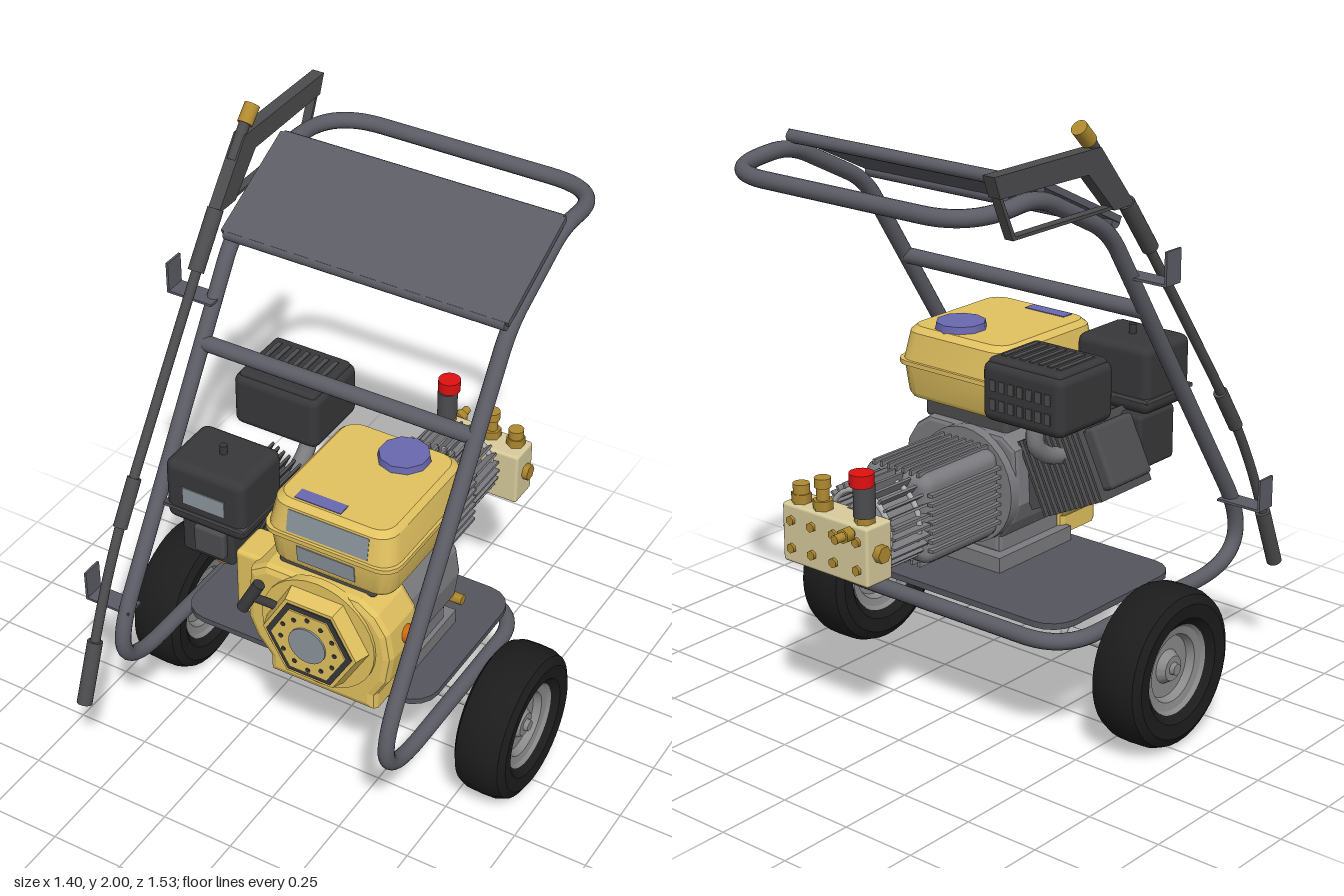
import * as THREE from 'three';
import { toCreasedNormals } from 'three/addons/utils/BufferGeometryUtils.js';
import { RoundedBoxGeometry } from 'three/addons/geometries/RoundedBoxGeometry.js';

const mat = (color) => new THREE.MeshStandardMaterial({ color });
const M = {
  frame: mat(0x5c5c66), plate: mat(0x55565e), tyre: mat(0x1c1c1c), rim: mat(0x8a8a8a), steel: mat(0xb0b0b0),
  yellow: mat(0xe2c260), black: mat(0x38383a), dark: mat(0x4c4c4e), block: mat(0x7c7c80), brass: mat(0xb08a30),
  blue: mat(0x6a68b0), label: mat(0x8b949c), red: mat(0xe01010), beige: mat(0xd8cc9c), orange: mat(0xd06a10),
};
const V = (x, y, z) => new THREE.Vector3(x, y, z);

export function createModel() {
  const root = new THREE.Group();
  const add = (name, geo, m, x = 0, y = 0, z = 0, parent = root) => {
    const mesh = new THREE.Mesh(geo, m);
    mesh.name = name;
    mesh.position.set(x, y, z);
    parent.add(mesh);
    return mesh;
  };
  const box = (name, m, x, y, z, w, h, d, p) => add(name, new THREE.BoxGeometry(w, h, d), m, x, y, z, p);
  const rbox = (name, m, x, y, z, w, h, d, r, p) => add(name, new RoundedBoxGeometry(w, h, d, 2, r), m, x, y, z, p);
  // Cylinder running from point a to point b
  const rod = (name, m, a, b, r0, r1 = r0, n = 20) => {
    const mesh = add(name, new THREE.CylinderGeometry(r1, r0, a.distanceTo(b), n), m);
    mesh.position.lerpVectors(a, b, 0.5);
    mesh.quaternion.setFromUnitVectors(V(0, 1, 0), b.clone().sub(a).normalize());
    return mesh;
  };
  // Closed path with rounded corners; every point is [x, y, z, trim]
  const roundedLoop = (pts) => {
    const path = new THREE.CurvePath();
    const corners = pts.map((p, i) => {
      const c = V(...p), q = V(...pts.at(i - 1)), s = V(...pts[(i + 1) % pts.length]);
      const cut = (t) => c.clone().add(t.clone().sub(c).setLength(p[3]));
      return [cut(q), c, cut(s)];
    });
    corners.forEach((k, i) => {
      path.add(new THREE.QuadraticBezierCurve3(...k));
      path.add(new THREE.LineCurve3(k[2], corners[(i + 1) % corners.length][0]));
    });
    return path;
  };
  // Stack of rounded rectangles [y, width, depth, radius] joined into a shell
  const loft = (sections) => {
    const pos = [], idx = [], n = 20;
    for (const [y, w, d, r] of sections) for (let j = 0; j < n; j++) {
      const q = Math.floor(j / 5), a = (q + (j % 5) / 4) * Math.PI / 2;
      const sx = q === 0 || q === 3 ? 1 : -1, sz = q < 2 ? 1 : -1;
      pos.push(sx * (w / 2 - r) + r * Math.cos(a), y, sz * (d / 2 - r) + r * Math.sin(a));
    }
    const last = (sections.length - 1) * n, c = sections.length * n;
    pos.push(0, sections[0][0], 0, 0, sections.at(-1)[0], 0);
    for (let j = 0; j < n; j++) {
      const k = (j + 1) % n;
      for (let o = 0; o < last; o += n) idx.push(o + j, o + n + j, o + k, o + k, o + n + j, o + n + k);
      idx.push(c, j, k, c + 1, last + k, last + j);
    }
    const g = new THREE.BufferGeometry();
    g.setAttribute('position', new THREE.Float32BufferAttribute(pos, 3));
    g.setIndex(idx);
    return toCreasedNormals(g, 0.5);
  };
  const extrude = (pts, depth, bevel = 0) => new THREE.ExtrudeGeometry(
    new THREE.Shape(pts.map((p) => new THREE.Vector2(...p))),
    { depth, bevelEnabled: bevel > 0, bevelSize: bevel, bevelThickness: bevel, bevelOffset: -bevel, bevelSegments: 2 });

  // Tubular frame: base loop, sloping uprights and push handle
  const L = -0.495, R = 0.465;
  const half = (x) => [[x, 0.39, -0.31, 0.16], [x, 0.39, 0.7, 0.34], [x, 1.64, -0.115, 0.08], [x, 1.805, -0.44, 0.08], [x, 1.78, -0.72, 0.18]];
  const loop = roundedLoop([...half(L), ...half(R).reverse()]);
  add('frameTube', new THREE.TubeGeometry(loop, 360, 0.026, 14, true), M.frame);
  rod('crossbar', M.frame, V(L, 1.355, 0.07), V(R, 1.355, 0.07), 0.026);
  const panel = new THREE.Group();
  panel.name = 'upperPanel';
  panel.position.set(-0.015, 1.745, -0.26);
  panel.rotation.x = 0.46;
  root.add(panel);
  box('panelSheet', M.frame, 0, 0.012, 0, 0.99, 0.02, 0.39, panel);
  for (const s of [-1, 1]) {
    const edge = add('panelEdge', new THREE.CylinderGeometry(0.02, 0.02, 0.97, 14), M.frame, 0, 0.002, s * 0.19, panel);
    edge.rotation.z = Math.PI / 2;
  }
  add('basePlate', loft([[0.43, 0.91, 0.61, 0.09], [0.45, 0.91, 0.61, 0.09]]), M.plate, -0.015, 0, -0.005);

  // Wheels: lathed tyre and dished rim, with a stub axle
  const tyre = [[0.145, -0.06], [0.17, -0.085], [0.215, -0.09], [0.242, -0.075], [0.254, -0.045], [0.256, 0],
    [0.254, 0.045], [0.242, 0.075], [0.215, 0.09], [0.17, 0.085], [0.145, 0.06], [0.145, -0.06]];
  const rim = [[0, 0.065], [0.018, 0.065], [0.02, 0.05], [0.04, 0.05], [0.055, 0.025], [0.1, 0.025], [0.11, 0.05], [0.135, 0.055], [0.146, 0.065]];
  const lathe = (p, crease) => toCreasedNormals(new THREE.LatheGeometry(p.map((q) => new THREE.Vector2(...q)), 40), crease);
  for (const s of [-1, 1]) {
    const wheel = new THREE.Group();
    wheel.name = s > 0 ? 'leftWheel' : 'rightWheel';
    wheel.position.set(s * 0.61, 0.257, 0.025);
    wheel.rotation.z = -s * Math.PI / 2;
    root.add(wheel);
    add('tyre', lathe(tyre, 0.45), M.tyre, 0, 0, 0, wheel);
    for (const f of [0, Math.PI]) {
      const face = add('rim', lathe(rim.slice().reverse(), 0.4), M.rim, 0, 0, 0, wheel);
      face.material.side = THREE.DoubleSide;
      face.rotation.x = f;
    }
    rod('axle', M.steel, V(s * 0.26, 0.26, 0.025), V(s * 0.56, 0.26, 0.025), 0.019);
    rod('axleEnd', M.steel, V(s * 0.235, 0.26, 0.025), V(s * 0.26, 0.26, 0.025), 0.021);
  }

  // Spray lance and its grips
  const lx = -0.543, P = (z, y) => V(lx, y, z);
  rod('lanceNozzle', M.dark, P(0.74, 0.35), P(0.66, 0.55), 0.025);
  const pipe = new THREE.CatmullRomCurve3([P(0.66, 0.55), P(0.58, 0.73), P(0.48, 0.91), P(0.28, 1.2), P(-0.1, 1.73)]);
  add('lancePipe', new THREE.TubeGeometry(pipe, 40, 0.016, 12), M.dark);
  rod('lanceSleeve', M.dark, P(0.49, 0.89), P(0.4, 1.025), 0.023);
  rod('lanceGrip', M.dark, P(0.02, 1.57), P(-0.1, 1.73), 0.026);
  // Trigger gun with an open guard
  const gunBar = (name, pts, w) => {
    const g = extrude(pts, w);
    g.rotateY(Math.PI / 2);
    add(name, g, M.dark, lx - w / 2, 0, 0);
  };
  gunBar('gunBody', [[0.085, 1.725], [0.245, 1.92], [0.705, 1.92], [0.68, 1.855], [0.3, 1.85], [0.18, 1.725]], 0.042);
  gunBar('gunGuard', [[0.705, 1.92], [0.62, 1.727], [0.18, 1.727], [0.18, 1.737], [0.61, 1.737], [0.685, 1.9]], 0.03);
  rod('gunInlet', M.dark, P(-0.2, 1.85), P(-0.28, 1.95), 0.018);
  rod('gunCoupling', M.brass, P(-0.275, 1.94), P(-0.32, 1.985), 0.025);
  // Lance hooks
  for (const [y, z] of [[1.48, 0.01], [0.62, 0.535]]) {
    box('hookArm', M.frame, -0.555, y, z, 0.16, 0.008, 0.07);
    box('hookLip', M.frame, -0.633, y + 0.05, z, 0.008, 0.105, 0.07);
  }

  // Engine block and yellow fan housing
  const profile = [[-0.05, 0.47], [0.33, 0.47], [0.33, 0.53], [0.37, 0.6], [0.385, 0.7], [0.37, 0.79], [0.33, 0.85], [0.27, 0.89],
    [-0.06, 0.89], [-0.12, 0.85], [-0.13, 0.66], [-0.1, 0.59], [-0.05, 0.53]];
  add('fanHousing', extrude(profile, 0.14, 0.025), M.yellow, 0, 0, 0.255);
  add('engineBlock', extrude(profile.map(([x, y]) => [x * 0.92 + 0.01, y * 0.95 + 0.045]), 0.27, 0.015), M.block, 0, 0, -0.045);
  rbox('housingSide', M.yellow, -0.15, 0.74, 0.3, 0.1, 0.24, 0.14, 0.015);
  box('engineFoot', M.block, 0.13, 0.475, 0.08, 0.4, 0.05, 0.36);
  rbox('tankSupport', M.dark, 0.13, 0.91, 0.17, 0.34, 0.07, 0.4, 0.015);
  rod('driveFlange', M.block, V(0.08, 0.71, -0.09), V(0.08, 0.71, -0.05), 0.19, 0.19, 32);
  // Recoil starter cover: hexagon, grille and hub
  const cx = 0.135, cy = 0.71;
  const disc = (name, m, r, z0, z1, n, r1 = r) => {
    const g = new THREE.CylinderGeometry(r1, r, z1 - z0, n);
    g.rotateY(n === 6 ? Math.PI / 6 : 0).rotateX(Math.PI / 2);
    return add(name, toCreasedNormals(g, 0.5), m, cx, cy, (z0 + z1) / 2);
  };
  disc('starterBase', M.yellow, 0.2, 0.4, 0.43, 32);
  disc('starterCover', M.yellow, 0.185, 0.42, 0.48, 6, 0.165);
  disc('starterGrille', M.black, 0.152, 0.47, 0.484, 6);
  disc('starterFace', M.yellow, 0.132, 0.47, 0.489, 6);
  disc('starterHub', M.label, 0.065, 0.47, 0.495, 28);
  for (let i = 0; i < 12; i++) {
    const a = i * Math.PI / 6, r = i % 2 ? 0.1 : 0.095;
    const x = cx + r * Math.cos(a), y = cy + r * Math.sin(a);
    rod('grilleHole', M.black, V(x, y, 0.48), V(x, y, 0.492), 0.008, 0.008, 8);
  }
  rod('pullHandle', M.black, V(-0.11, 0.74, 0.47), V(-0.06, 0.84, 0.45), 0.02);
  rod('pullCord', M.black, V(-0.08, 0.79, 0.46), V(0, 0.76, 0.43), 0.014);
  rod('oilPlug', M.orange, V(0.35, 0.735, 0.31), V(0.4, 0.735, 0.31), 0.03);
  rod('drainPlug', M.brass, V(0.33, 0.6, -0.05), V(0.38, 0.6, -0.05), 0.018, 0.018, 6);

  // Fuel tank with seam, cap and labels
  add('fuelTank', loft([[0.935, 0.4, 0.45, 0.05], [0.95, 0.42, 0.47, 0.06], [1.045, 0.44, 0.49, 0.06], [1.045, 0.465, 0.51, 0.06], [1.06, 0.465, 0.51, 0.06],
    [1.06, 0.445, 0.49, 0.06], [1.15, 0.415, 0.46, 0.06], [1.168, 0.38, 0.42, 0.05]]), M.yellow, 0.165, 0, 0.18);
  add('fuelCap', new THREE.CylinderGeometry(0.08, 0.085, 0.03, 10), M.blue, 0.215, 1.175, 0.05);
  box('tankTopLabel', M.blue, 0.11, 1.168, 0.36, 0.16, 0.005, 0.045);
  box('tankUpperLabel', M.label, 0.165, 1.105, 0.414, 0.28, 0.075, 0.01).rotation.x = -0.16;
  box('tankLowerLabel', M.label, 0.16, 0.995, 0.418, 0.2, 0.06, 0.01).rotation.x = 0.1;

  // Slanted cylinder with cooling fins
  const cyl = new THREE.Group();
  cyl.name = 'engineCylinder';
  cyl.position.set(-0.24, 0.81, 0.1);
  cyl.rotation.z = -0.45;
  root.add(cyl);
  box('cylinderCore', M.dark, 0.02, 0, 0, 0.32, 0.19, 0.2, cyl);
  for (let i = 0; i < 12; i++) box('coolingFin', M.dark, -0.13 + i * 0.022, 0, 0, 0.009, 0.25, 0.25, cyl);
  rbox('cylinderHead', M.dark, -0.15, 0, 0, 0.05, 0.2, 0.2, 0.015, cyl);

  // Muffler with slotted guard, and exhaust pipe
  rbox('muffler', M.black, -0.285, 1.115, -0.13, 0.31, 0.19, 0.26, 0.03);
  rbox('mufflerLid', M.black, -0.285, 1.2, -0.13, 0.28, 0.04, 0.23, 0.015);
  for (let i = 0; i < 7; i++) {
    box('mufflerSlot', M.dark, -0.39 + i * 0.035, 1.22, -0.13, 0.016, 0.008, 0.16);
    for (const y of [1.08, 1.14]) box('mufflerSlot', M.dark, -0.39 + i * 0.035, y, -0.26, 0.022, 0.035, 0.008);
  }
  const exhaust = new THREE.CatmullRomCurve3([V(-0.24, 1.03, -0.13), V(-0.24, 0.93, -0.13), V(-0.24, 0.88, -0.07), V(-0.24, 0.86, 0)]);
  add('exhaustPipe', new THREE.TubeGeometry(exhaust, 20, 0.028, 12), M.block);
  // Air cleaner and carburettor
  rbox('airCleaner', M.black, -0.26, 1.07, 0.325, 0.285, 0.22, 0.23, 0.03);
  box('airCleanerSeam', M.dark, -0.26, 1.01, 0.325, 0.292, 0.012, 0.237);
  rod('airCleanerKnob', M.black, V(-0.26, 1.17, 0.32), V(-0.26, 1.21, 0.32), 0.012);
  box('airCleanerLabel', M.label, -0.258, 1.07, 0.441, 0.15, 0.06, 0.006);
  rbox('carburettor', M.black, -0.3, 0.875, 0.28, 0.19, 0.18, 0.18, 0.015);
  rbox('chokeCover', M.dark, -0.28, 0.87, 0.38, 0.11, 0.1, 0.03, 0.01);
  rod('carburettorBowl', M.brass, V(-0.29, 0.73, 0.28), V(-0.29, 0.8, 0.28), 0.035, 0.045);

  // Pump body: ribbed casing and a cage of cooling bars
  const px = 0.08, py = 0.71;
  rbox('pumpCasing', M.block, px, py, -0.245, 0.27, 0.29, 0.35, 0.04);
  for (let i = 0; i < 7; i++) {
    const t = -0.09 + i * 0.03;
    for (const s of [-1, 1]) {
      box('casingRib', M.block, px + s * 0.138, py + t, -0.245, 0.02, 0.01, 0.33);
      box('casingRib', M.block, px + t, py + s * 0.146, -0.245, 0.01, 0.016, 0.33);
    }
  }
  rod('pumpCore', M.block, V(px, py, -0.6), V(px, py, -0.4), 0.075, 0.1);
  for (const z of [-0.44, -0.57]) add('cageRing', new THREE.TorusGeometry(0.122, 0.009, 8, 36), M.steel, px, py, z);
  for (let i = 0; i < 28; i++) {
    const a = i * Math.PI / 14;
    const bar = box('cageBar', M.block, px + 0.132 * Math.cos(a), py + 0.132 * Math.sin(a), -0.495, 0.03, 0.008, 0.16);
    bar.rotation.z = a;
  }

  // Pump head, valves and fittings
  rbox('pumpHead', M.beige, 0.115, 0.685, -0.635, 0.35, 0.19, 0.11, 0.01);
  for (const x of [-0.02, 0.075, 0.165, 0.25]) for (const y of [0.64, 0.73])
    rod('headBolt', M.brass, V(x, y, -0.69), V(x, y, -0.7), 0.016, 0.016, 6);
  for (const [x, h] of [[-0.015, 0.9], [0.155, 0.88], [0.245, 0.84]]) {
    rod('fittingNut', M.brass, V(x, 0.77, -0.65), V(x, 0.81, -0.65), 0.032, 0.032, 6);
    rod('fittingStem', M.brass, V(x, 0.8, -0.65), V(x, h, -0.65), 0.02);
    rod('fittingCollar', M.brass, V(x, h - 0.03, -0.65), V(x, h, -0.65), 0.026);
  }
  rod('valveBody', M.dark, V(-0.015, 0.8, -0.65), V(-0.015, 0.9, -0.65), 0.034);
  rod('valveKnob', M.red, V(-0.015, 0.9, -0.66), V(-0.015, 0.94, -0.66), 0.038);
  rod('outletPipe', M.brass, V(0, 0.755, -0.68), V(0, 0.755, -0.765), 0.014);
  rod('outletNut', M.brass, V(0, 0.755, -0.7), V(0, 0.755, -0.73), 0.024, 0.024, 6);
  for (const [a, b] of [[-0.085, -0.055], [0.285, 0.31]]) rod('sidePlug', M.brass, V(a, 0.69, -0.64), V(b, 0.69, -0.64), 0.028, 0.028, 6);
  return root;
}
